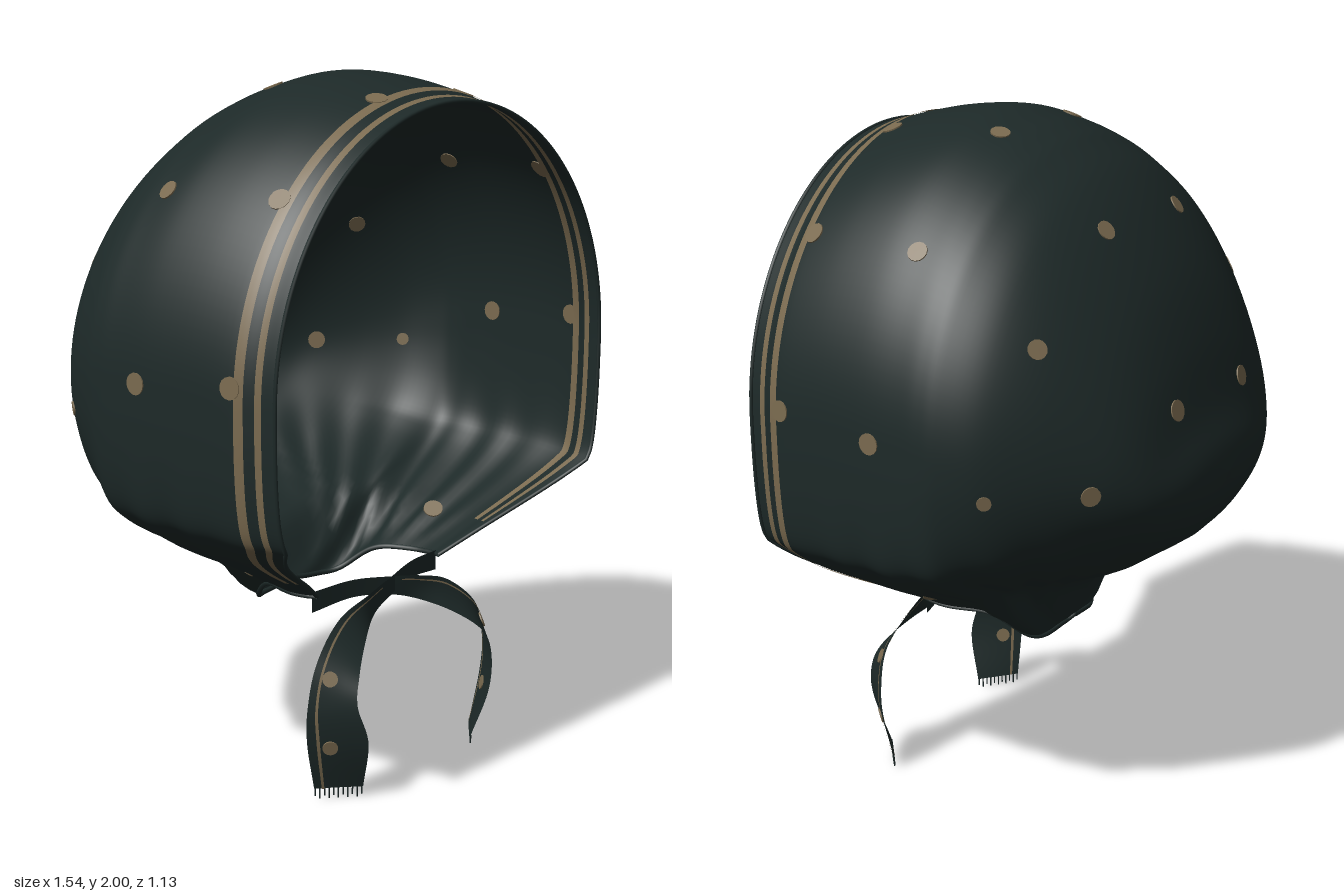
import * as THREE from 'three';

const cloth = new THREE.MeshStandardMaterial({ color: 0x1d2928, side: THREE.DoubleSide });
cloth.name = 'dark green cloth';
const tan = new THREE.MeshStandardMaterial({ color: 0x7a6a4f, side: THREE.DoubleSide });
tan.name = 'tan print';

const V = (x, y, z) => new THREE.Vector3(x, y, z);
const curve = (pts) => new THREE.CatmullRomCurve3(pts.map((p) => V(...p)), false, 'catmullrom', 0.5);
const { smoothstep, clamp, lerp } = THREE.MathUtils;

// Hood hoops from the face opening to the back: z, top, half width, widest height, bottom height, bottom half width, bottom z
const hoops = [
  [0.555, 1.93, 0.705, 1.20, 0.56, 0.27, 0.30],
  [0.50, 1.94, 0.715, 1.20, 0.56, 0.275, 0.285],
  [0.44, 1.96, 0.735, 1.20, 0.558, 0.28, 0.26],
  [0.30, 1.99, 0.75, 1.22, 0.555, 0.28, 0.20],
  [0.15, 2.0, 0.762, 1.22, 0.555, 0.255, 0.12],
  [0.03, 1.973, 0.766, 1.215, 0.56, 0.21, 0.02],
  [-0.04, 1.948, 0.766, 1.21, 0.57, 0.14, -0.04],
  [-0.10, 1.917, 0.757, 1.20, 0.59, 0, -0.065],
  [-0.20, 1.845, 0.715, 1.18, 0.65, 0, -0.18],
  [-0.30, 1.73, 0.635, 1.16, 0.71, 0, -0.30],
  [-0.40, 1.57, 0.53, 1.13, 0.78, 0, -0.40],
  [-0.47, 1.40, 0.44, 1.10, 0.83, 0, -0.47],
  [-0.52, 1.22, 0.34, 1.06, 0.89, 0, -0.52],
  [-0.555, 1.12, 0.20, 1.04, 0.96, 0, -0.555],
  [-0.57, 1.04, 0, 1.04, 1.04, 0, -0.57],
];
const LAST = hoops.length - 1;
const NAPE = 7; // first hoop that closes under the head
const curveA = curve(hoops.map((h) => [h[0], h[1], h[2]]));
const curveB = curve(hoops.map((h) => [h[3], h[4], h[5]]));
const curveC = curve(hoops.map((h) => [h[6], 0, 0]));
// lower half of a hoop: straight cheek, rounded jaw, slope to the neck (drop, width)
const jaw = curve([[0, 1, 0], [0.2, 0.998, 0], [0.4, 0.98, 0], [0.54, 0.94, 0], [0.62, 0.86, 0],
  [0.7, 0.72, 0], [0.79, 0.51, 0], [0.88, 0.28, 0], [1, 0, 0]]);

// Point on the hood: k runs along the hoops, u = -1..1 goes round a hoop
function hood(k, u) {
  const t = clamp(k / LAST, 0, 1);
  const { x: z0, y: top, z: w } = curveA.getPoint(t);
  const { x: ym, y: yb, z: xeRaw } = curveB.getPoint(t);
  const xe = k >= NAPE ? 0 : Math.max(0, xeRaw);
  const a = Math.min(1, Math.abs(u)) * Math.PI;
  let x, y, z = z0, s = 0;
  if (a <= Math.PI / 2) {
    x = w * Math.sin(a);
    y = ym + (top - ym) * Math.cos(a);
  } else {
    const p = jaw.getPoint(a / (Math.PI / 2) - 1);
    s = p.x;
    const round = Math.sqrt(Math.max(0, 1 - s * s));
    x = xe + (w - xe) * lerp(p.y, round, smoothstep(k, 5, 11));
    z = z0 + (curveC.getPoint(t).x - z0) * Math.max(0, (s - 0.58) / 0.42);
    // collar that hangs down at the nape
    const collar = 0.11 * Math.exp(-(((z + 0.055) / (z > -0.055 ? 0.09 : 0.05)) ** 2));
    y = ym - (ym - yb) * s - collar * smoothstep(s, 0.82, 1);
  }
  // gathers that fan out from the neck
  const fade = (1 - smoothstep(y, 0.62, 1.05)) * smoothstep(k, 2, 4) * (1 - smoothstep(s, 0.88, 1));
  const f = 1 + 0.011 * fade * Math.cos(28 * Math.atan2(x, 0.1 - z));
  return V(x * f * Math.sign(u), 1.2 + (y - 1.2) * f, z);
}

function hoodNormal(k, u) {
  const du = hood(k, u + 0.01).sub(hood(k, u - 0.01));
  const dk = hood(k + 0.1, u).sub(hood(k - 0.1, u));
  return du.cross(dk).normalize();
}

// Surface grid from a function of (0..1, 0..1)
function grid(n, m, fn) {
  const pos = [], idx = [];
  for (let i = 0; i <= n; i++) {
    for (let j = 0; j <= m; j++) {
      pos.push(...fn(i / n, j / m).toArray());
      if (i < n && j < m) {
        const a = i * (m + 1) + j, b = a + m + 1;
        idx.push(a, a + 1, b, a + 1, b + 1, b);
      }
    }
  }
  const g = new THREE.BufferGeometry();
  g.setAttribute('position', new THREE.Float32BufferAttribute(pos, 3));
  g.setIndex(idx);
  g.computeVertexNormals();
  return g;
}

function add(parent, name, geo, mat) {
  const mesh = new THREE.Mesh(geo, mat);
  mesh.name = name;
  parent.add(mesh);
  return mesh;
}

// Thin disc that shows on both faces of the cloth
function spot(parent, p, n, r) {
  const m = add(parent, 'spot', new THREE.CylinderGeometry(r, r, 0.007, 14), tan);
  m.position.copy(p);
  m.quaternion.setFromUnitVectors(V(0, 1, 0), n);
}

// Tie ribbon: centre line, width direction
const tieLine = curve([[-0.275, 0.54, 0.285], [-0.13, 0.55, 0.305], [0, 0.535, 0.33], [0.11, 0.51, 0.355],
  [0.22, 0.465, 0.385], [0.315, 0.385, 0.42], [0.347, 0.29, 0.43], [0.332, 0.18, 0.435], [0.30, 0.03, 0.41]]);
const tieWidth = curve([[0, 0.03, 0], [0, 0.026, 0], [0.004, 0.026, 0], [0.012, 0.032, 0], [0.025, 0.036, -0.025],
  [0.04, 0.022, -0.042], [0.045, 0, -0.052], [0.058, 0, -0.062], [0.053, 0, -0.044]]);
const tieNormal = (t) => tieWidth.getPoint(t).cross(tieLine.getTangent(t)).normalize();
const tiePoint = (t, w, lift = 0) => tieLine.getPoint(t)
  .addScaledVector(tieWidth.getPoint(t), w).addScaledVector(tieNormal(t), lift);

function makeTie(side) {
  const tie = new THREE.Group();
  tie.name = side > 0 ? 'leftTie' : 'rightTie';
  // one ribbon passes just in front of the other at the crossing
  const place = (p) => V(p.x * side, p.y, p.z + (side < 0 ? 0.012 * (1 - Math.min(1, Math.abs(p.x) / 0.3)) : 0));
  add(tie, 'ribbon', grid(60, 4, (t, v) => place(tiePoint(t, v * 2 - 1))), cloth);
  for (const lift of [-0.003, 0.003]) {
    add(tie, 'ribbonStripe', grid(50, 1, (t, v) => place(tiePoint(0.3 + 0.7 * t, 0.58 + 0.11 * v, lift))), tan);
  }
  for (const t of [0.66, 0.89]) {
    const n = tieNormal(t);
    spot(tie, place(tiePoint(t, 0.25)), V(n.x * side, n.y, n.z), 0.022);
  }
  // frayed threads
  for (let i = 0; i < 11; i++) {
    const p = place(tiePoint(1, -0.95 + i * 0.19));
    const len = 0.022 + 0.008 * (i % 2);
    add(tie, 'fringeThread', new THREE.BoxGeometry(0.003, len, 0.003), cloth).position.set(p.x, 0.03 - len / 2, p.z);
  }
  return tie;
}

export function createModel() {
  const model = new THREE.Group();
  model.name = 'bonnet';

  add(model, 'hood', grid(LAST * 6, 144, (t, v) => hood(t * LAST, v * 2 - 1)), cloth);

  // rolled hem around the face opening and the neck edge
  const rim = [], neck = [];
  for (let i = 0; i <= 64; i++) {
    rim.push(hood(0, i / 32 - 1));
    neck.push(hood(NAPE * (1 - Math.abs(i / 32 - 1)), i <= 32 ? -1 : 1));
  }
  add(model, 'faceHem', new THREE.TubeGeometry(new THREE.CatmullRomCurve3(rim), 144, 0.006, 6), cloth);
  add(model, 'neckHem', new THREE.TubeGeometry(new THREE.CatmullRomCurve3(neck), 96, 0.008, 6), cloth);

  // two printed stripes behind the face opening, on both faces of the cloth
  for (const [k0, k1] of [[0.7, 1.05], [1.62, 1.98]]) {
    for (const lift of [-0.003, 0.003]) {
      add(model, 'rimStripe', grid(3, 144, (t, v) => {
        const p = hood(k0 + (k1 - k0) * t, (v * 2 - 1) * 0.93);
        return p.addScaledVector(V(p.x, p.y - 1.1, 0).normalize(), lift);
      }), tan);
    }
  }

  // printed spots (place, radius), each moved to the nearest place on the hood
  const spots = [[0.2, 1.96, 0.065, 0.028], [0.59, 1.72, 0.06, 0.028], [0.765, 1.22, 0.105, 0.03],
    [0.42, 0.64, 0.16, 0.03], [0.2, 1.74, -0.3, 0.028], [0.54, 1.48, -0.28, 0.027], [0.7, 1.09, -0.21, 0.02],
    [0.2, 1.26, -0.49, 0.03], [0.49, 1.09, -0.4, 0.028],
    [0.19, 1.94, 0.43, 0.03], [0.54, 1.7, 0.43, 0.03], [0.735, 1.24, 0.43, 0.03]];
  for (const [sx, sy, sz, r] of spots) {
    const target = V(sx, sy, sz);
    let best = Infinity, bk = 0, bu = 0;
    for (let k = 0.2; k < LAST - 0.2; k += 0.1) {
      for (let u = 0.02; u < 0.98; u += 0.01) {
        const d = hood(k, u).distanceToSquared(target);
        if (d < best) [best, bk, bu] = [d, k, u];
      }
    }
    const p = hood(bk, bu), n = hoodNormal(bk, bu);
    for (const side of [1, -1]) spot(model, V(p.x * side, p.y, p.z), V(n.x * side, n.y, n.z), r);
  }

  model.add(makeTie(1), makeTie(-1));
  return model;
}
